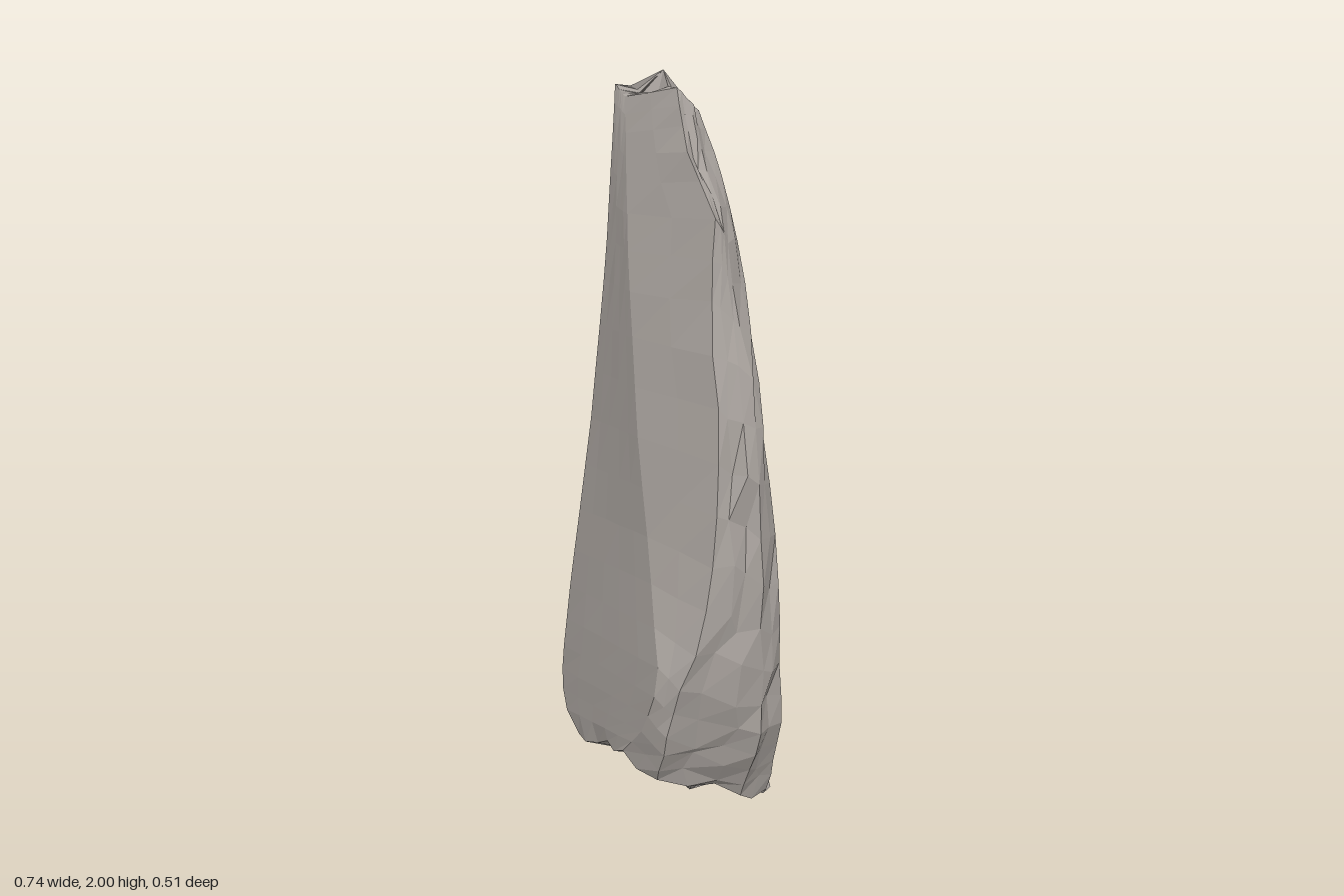
import * as THREE from 'three';

// Long edges of the shard, each from bottom to top as [y, x, z].
// Listed around the body: front left, front crease, front right, right, back right, back ridge, notch, back left.
const frontLeft = [[0.12, -0.23, 0.06], [0.17, -0.3, 0.025], [0.25, -0.335, 0], [0.5, -0.315, -0.015], [1, -0.25, -0.035], [1.5, -0.2, -0.05], [1.96, -0.17, -0.055]];
const frontCrease = [[0.2, 0.02, 0.205], [0.3, 0.11, 0.24], [0.46, 0.174, 0.256], [0.6, 0.12, 0.2], [0.76, 0.07, 0.148], [1.05, 0, 0.095], [1.5, -0.08, 0.02], [1.93, -0.14, -0.055]];
const frontRight = [[0.14, 0.13, 0.2], [0.25, 0.18, 0.238], [0.45, 0.225, 0.238], [0.58, 0.278, 0.21], [0.75, 0.285, 0.18], [0.95, 0.28, 0.145], [1.2, 0.255, 0.102], [1.4, 0.2, 0.062], [1.66, 0.19, 0.018], [1.78, 0.09, -0.01], [1.97, 0.02, -0.05]];
const right = [[0.05, 0.28, 0.01], [0.25, 0.36, 0.045], [0.7, 0.367, 0.06], [1, 0.35, 0.045], [1.25, 0.306, 0.02], [1.4, 0.25, 0], [1.66, 0.19, -0.02], [1.78, 0.11, -0.05], [1.92, 0.055, -0.08]];
const backRight = [[0.03, 0.3, -0.1], [0.25, 0.358, -0.07], [0.7, 0.362, -0.03], [1.2, 0.3, -0.03], [1.5, 0.21, -0.085], [1.7, 0.14, -0.11], [1.9, 0.045, -0.125]];
const backRidge = [[0.02, 0.275, -0.135], [0.6, 0.14, -0.175], [1.1, 0.06, -0.19], [1.5, -0.04, -0.205], [1.7, -0.03, -0.175], [1.92, -0.03, -0.145]];
const notch = [[0.12, -0.22, -0.05], [0.4, -0.32, -0.12], [0.8, -0.28, -0.175], [1.2, -0.25, -0.185], [1.5, -0.22, -0.18], [1.7, -0.19, -0.145], [1.92, -0.12, -0.12]];
const backLeft = [[0.13, -0.27, 0.025], [0.25, -0.345, -0.04], [0.4, -0.37, -0.15], [0.8, -0.357, -0.255], [1.2, -0.302, -0.254], [1.5, -0.25, -0.185], [1.7, -0.22, -0.125], [1.94, -0.168, -0.075]];

// Each face: its starting edge, columns, roughness of the face, roughness of the edge
const faces = [
  [frontLeft, 5, 0.001, 0.001], [frontCrease, 2, 0.002, 0.001], [frontRight, 3, 0.016, 0.005], [right, 2, 0.016, 0.006],
  [backRight, 3, 0.001, 0.004], [backRidge, 4, 0.001, 0.002], [notch, 1, 0, 0.001], [backLeft, 2, 0.001, 0.002],
];
const ROWS = 20;

function seeded(seed) {
  let s = seed;
  return () => {
    s = (s * 16807) % 2147483647;
    return s / 2147483647 - 0.5;
  };
}

// Point on an edge at fraction t of its height
function along(edge, t) {
  const y = THREE.MathUtils.lerp(edge[0][0], edge[edge.length - 1][0], t);
  let i = 0;
  while (i < edge.length - 2 && edge[i + 1][0] < y) i++;
  const [a, b] = [edge[i], edge[i + 1]];
  const k = (y - a[0]) / (b[0] - a[0]);
  return new THREE.Vector3(a[1] + (b[1] - a[1]) * k, y, a[2] + (b[2] - a[2]) * k);
}

function buildRock() {
  const random = seeded(9173);
  const jitter = (p, r) => p.add(new THREE.Vector3(random(), random() * 1.5, random()).multiplyScalar(r * 2));

  // Cross-sections running round all the edges, closer together near the ends;
  // narrow faces are chipped less, and the bottom rim is ragged
  const rings = [];
  for (let row = 0; row <= ROWS; row++) {
    const u = row / ROWS;
    const t = u - 0.08 * Math.sin(2 * Math.PI * u);
    const ring = [];
    faces.forEach(([edge, columns, rough, edgeRough], f) => {
      const a = along(edge, t);
      const b = along(faces[(f + 1) % faces.length][0], t);
      const chip = Math.min(rough, 0.3 * a.distanceTo(b) / columns);
      for (let c = 0; c < columns; c++) {
        const p = a.clone().lerp(b, c / columns);
        ring.push(jitter(p, row === 0 && c ? 0.012 : c ? chip : edgeRough));
      }
    });
    rings.push(ring);
  }

  // Broken underside and tip: one rough inner ring each, then a centre point
  const bottom = new THREE.Vector3(0.09, 0.08, -0.025);
  const tip = new THREE.Vector3(-0.05, 1.94, -0.1);
  rings.unshift(rings[0].map((p) => jitter(p.clone().lerp(bottom, 0.62), 0.014)));
  rings.push(rings[rings.length - 1].map((p) => jitter(p.clone().lerp(tip, 0.4), 0.01)));
  tip.set(-0.06, 2, -0.115);
  bottom.y = 0;

  const positions = [];
  const triangle = (...points) => points.forEach((p) => positions.push(p.x, Math.max(0, Math.min(2, p.y)), p.z));
  const count = rings[0].length;
  const last = rings[rings.length - 1];
  for (let i = 0; i < count; i++) {
    const j = (i + 1) % count;
    for (let r = 0; r < rings.length - 1; r++) {
      const [low, high] = [rings[r], rings[r + 1]];
      triangle(low[i], low[j], high[j]);
      triangle(low[i], high[j], high[i]);
    }
    triangle(rings[0][j], rings[0][i], bottom);
    triangle(last[i], last[j], tip);
  }
  const geometry = new THREE.BufferGeometry();
  geometry.setAttribute('position', new THREE.Float32BufferAttribute(positions, 3));
  geometry.computeVertexNormals();
  return geometry;
}

export function createModel() {
  const group = new THREE.Group();
  group.name = 'rockShard';
  const stone = new THREE.MeshStandardMaterial({ color: 0xa8a29d, flatShading: true });
  const rock = new THREE.Mesh(buildRock(), stone);
  rock.name = 'rock';
  group.add(rock);
  return group;
}
